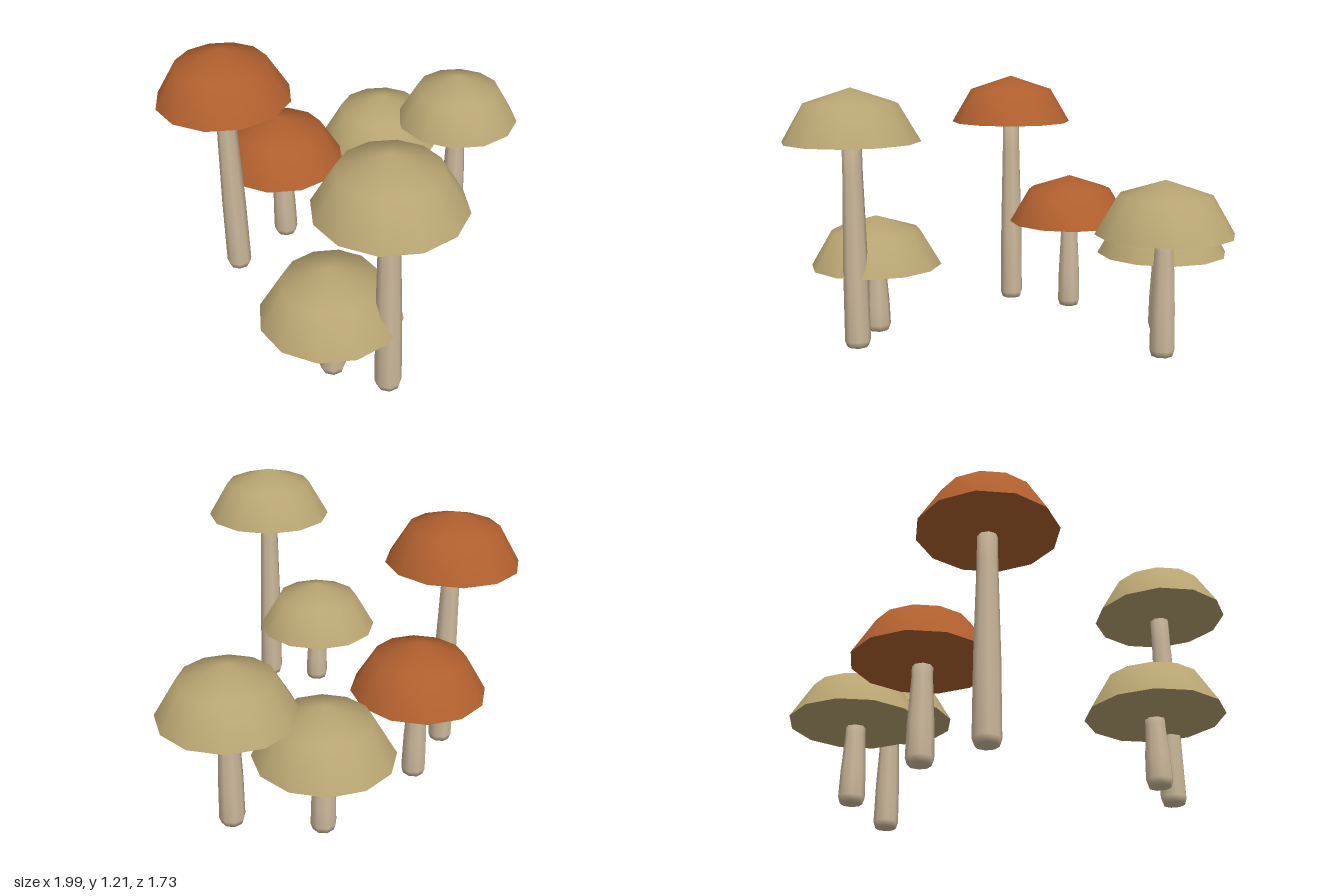
import * as THREE from 'three';
import { mergeVertices } from 'three/addons/utils/BufferGeometryUtils.js';

// Low-sided turned shape with one smooth normal per corner
function turned(points, sides) {
  const g = new THREE.LatheGeometry(points.map(([r, y]) => new THREE.Vector2(r, y)), sides);
  g.deleteAttribute('normal');
  g.deleteAttribute('uv');
  const smooth = mergeVertices(g, 1e-4);
  smooth.computeVertexNormals();
  return smooth;
}

export function createModel() {
  const material = (name, color) => new THREE.MeshStandardMaterial({ name, color });
  const tan = material('tanCap', 0xb8a472);
  const rust = material('rustCap', 0xb05f2e);
  const cream = material('creamStem', 0xcdb99c);

  // Cap: faceted dome over a very shallow underside, with a sharp rim
  const dome = turned([[0.313, 0], [0.212, 0.172], [0, 0.242]], 12);
  const underside = turned([[0, -0.017], [0.1, -0.014], [0.313, 0]], 12);

  // Stem: rounded foot, widest near the ground, tapering into the cap
  const stem = (h) => turned([
    [0, 0], [0.05, 0], [0.06, 0.03], [0.057, h * 0.4], [0.046, h * 0.85], [0.045, h + 0.03], [0, h + 0.03],
  ], 8);

  // x, z, rim height, cap material
  const mushrooms = [
    [-0.61, 0.55, 0.955, tan],
    [-0.682, 0.295, 0.328, tan],
    [-0.407, -0.555, 0.968, rust],
    [-0.055, -0.555, 0.457, rust],
    [0.532, -0.37, 0.386, tan],
    [0.685, 0.01, 0.56, tan],
  ];

  const model = new THREE.Group();
  model.name = 'mushroomCluster';
  mushrooms.forEach(([x, z, rim, capMaterial], i) => {
    const mushroom = new THREE.Group();
    mushroom.name = `mushroom${i + 1}`;
    mushroom.position.set(x, 0, z);
    const add = (name, geometry, mat, y) => {
      const mesh = new THREE.Mesh(geometry, mat);
      mesh.name = name;
      mesh.position.y = y;
      mushroom.add(mesh);
    };
    add('stem', stem(rim), cream, 0);
    add('capDome', dome, capMaterial, rim);
    add('capUnderside', underside, capMaterial, rim);
    model.add(mushroom);
  });
  return model;
}
